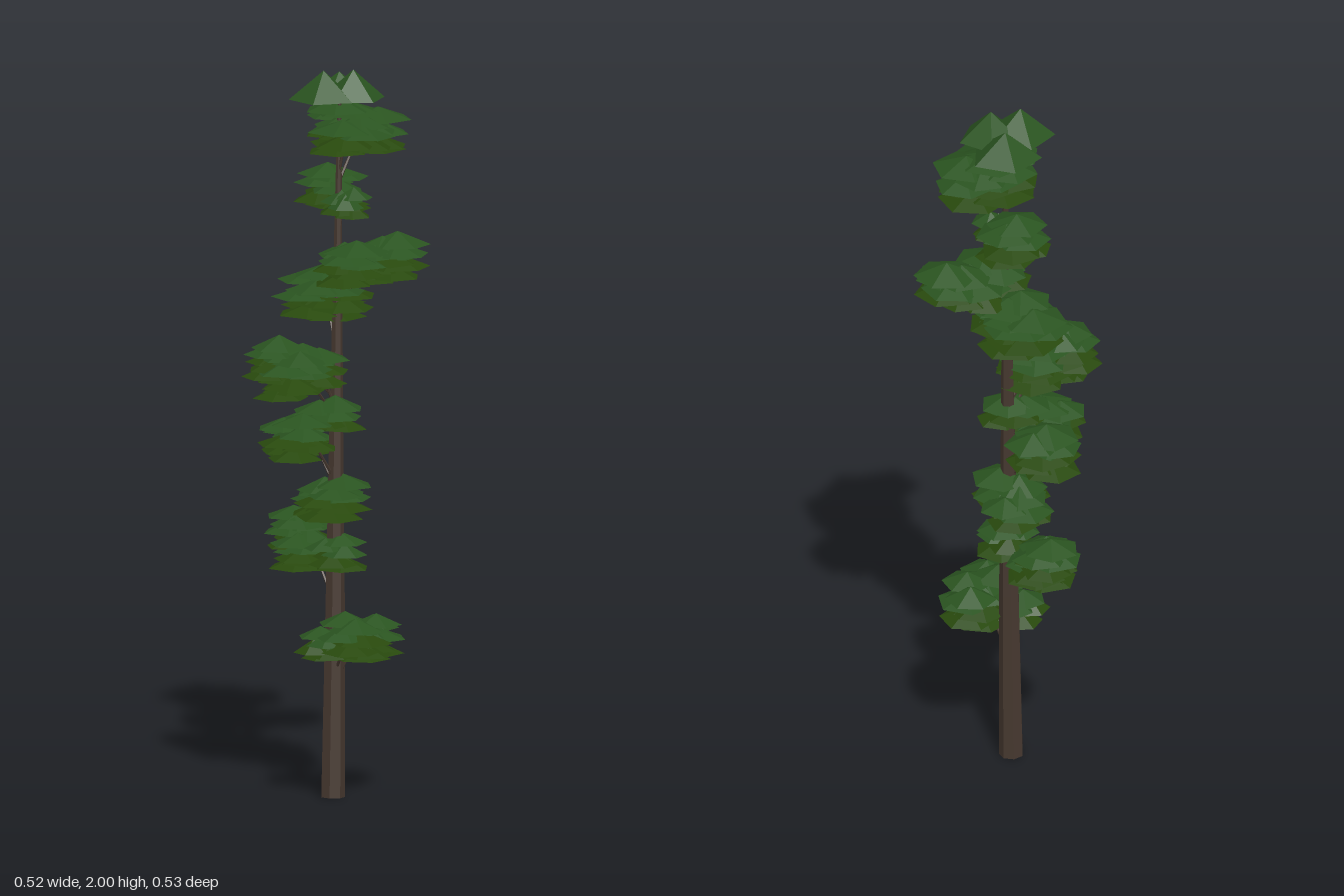
import * as THREE from 'three';

const mat = (name, color) => Object.assign(new THREE.MeshStandardMaterial({ color, flatShading: true }), { name });

// Small seeded generator for the irregular foliage
function seeded(seed) {
  let s = seed;
  return () => (s = (s * 16807) % 2147483647) / 2147483647;
}

// Tapered round limb between two points
function limb(name, a, b, ra, rb, sides, material) {
  const dir = b.clone().sub(a);
  const mesh = new THREE.Mesh(new THREE.CylinderGeometry(rb, ra, dir.length(), sides), material);
  mesh.name = name;
  mesh.position.copy(a).addScaledVector(dir, 0.5);
  mesh.quaternion.setFromUnitVectors(new THREE.Vector3(0, 1, 0), dir.normalize());
  return mesh;
}

// Flat-bottomed cone of needles
function tuft(name, x, y, z, r, h, turn, material, sides) {
  const mesh = new THREE.Mesh(new THREE.ConeGeometry(r, h, sides), material);
  mesh.name = name;
  mesh.position.set(x, y + h / 2, z);
  mesh.rotation.y = turn;
  return mesh;
}

export function createModel() {
  const tree = new THREE.Group();
  tree.name = 'pineTree';
  const bark = mat('bark', 0x473930);
  const green = mat('upperNeedles', 0x2a5420);
  const olive = mat('lowerNeedles', 0x28490d);
  const rand = seeded(4711);

  // Slightly leaning trunk: x, y, z, radius
  const trunkPoints = [
    [-0.01, 0, 0.034, 0.034], [0, 0.5, 0.03, 0.028], [0.008, 1, 0.025, 0.02],
    [0.018, 1.5, 0.02, 0.012], [0.028, 1.94, 0.015, 0.005],
  ];
  const trunk = new THREE.Group();
  trunk.name = 'trunk';
  for (let i = 1; i < trunkPoints.length; i++) {
    const [p, q] = [trunkPoints[i - 1], trunkPoints[i]];
    trunk.add(limb('trunkSection', new THREE.Vector3(...p.slice(0, 3)),
      new THREE.Vector3(...q.slice(0, 3)), p[3], q[3], 7, bark));
  }
  tree.add(trunk);

  const trunkAt = (y) => {
    let i = 1;
    while (i < trunkPoints.length - 1 && trunkPoints[i][1] < y) i++;
    const [p, q] = [trunkPoints[i - 1], trunkPoints[i]];
    const t = (y - p[1]) / (q[1] - p[1]);
    return new THREE.Vector3(p[0] + (q[0] - p[0]) * t, y, p[2] + (q[2] - p[2]) * t);
  };

  // Foliage pads: x, z, bottom, top, overall radius
  const pads = [
    [-0.035, 0.165, 0.41, 0.53, 0.105], [0.045, 0.13, 0.39, 0.52, 0.1], [-0.06, 0.075, 0.39, 0.48, 0.085],
    [0.03, -0.17, 0.65, 0.77, 0.1], [0.01, -0.12, 0.61, 0.72, 0.1], [0, 0.04, 0.63, 0.73, 0.09],
    [0.0, 0.025, 0.77, 0.89, 0.11], [0.04, -0.05, 0.77, 0.86, 0.105],
    [-0.13, 0.03, 0.95, 1.07, 0.11], [-0.03, -0.085, 0.93, 1.05, 0.108], [-0.03, 0.04, 1.02, 1.11, 0.1],
    [-0.17, -0.005, 1.17, 1.29, 0.095], [-0.155, 0.04, 1.12, 1.25, 0.105], [-0.075, 0.025, 1.14, 1.26, 0.11],
    [0.02, -0.06, 1.31, 1.45, 0.13], [0.04, -0.02, 1.34, 1.46, 0.12],
    [0.15, 0.085, 1.43, 1.55, 0.11], [0.02, 0.075, 1.42, 1.54, 0.11], [0.1, 0.05, 1.42, 1.52, 0.105],
    [0.075, -0.085, 1.61, 1.73, 0.105], [0.03, 0.04, 1.6, 1.68, 0.075],
    [0.13, 0.02, 1.77, 1.89, 0.115], [0.03, 0.065, 1.79, 1.88, 0.12], [0.07, -0.015, 1.77, 1.92, 0.115],
  ];
  pads.forEach(([x, z, y0, y1, radius]) => {
    const pad = new THREE.Group();
    pad.name = 'foliagePad';
    const count = Math.max(6, Math.round((y1 - y0) / 0.016));
    const phase = rand() * 6.28;
    for (let i = 0; i < count; i++) {
      const t = i / (count - 1);
      const r = radius * (0.66 + 0.2 * rand());
      const angle = phase + i * 2.4;
      const offset = (radius - r) * (0.9 + 0.4 * rand());
      const h = 0.03 + 0.008 * rand();
      pad.add(tuft('needleTuft', x + Math.cos(angle) * offset, y0 + t * (y1 - y0 - h),
        z + Math.sin(angle) * offset, r, h, rand() * 6.28, t < 0.5 ? olive : green, 6));
    }
    tree.add(pad);

    // Thin bough rising steeply from the trunk into the pad
    const from = trunkAt(y0 - 0.08);
    tree.add(limb('branch', from, new THREE.Vector3(x * 0.6 + from.x * 0.4, y0 + 0.04, z * 0.6 + from.z * 0.4),
      0.005, 0.003, 5, bark));
  });

  // Taller cones at the crown: x, z, base, height, radius, turn
  [[-0.015, 0.0, 1.92, 0.08, 0.095, 0.3], [0.06, 0.035, 1.92, 0.08, 0.09, 0],
    [0.08, -0.055, 1.905, 0.075, 0.1, 0.25]].forEach(([x, z, y, h, r, turn]) => {
    tree.add(tuft('crownTuft', x, y, z, r, h, turn, green, 5));
  });
  return tree;
}
